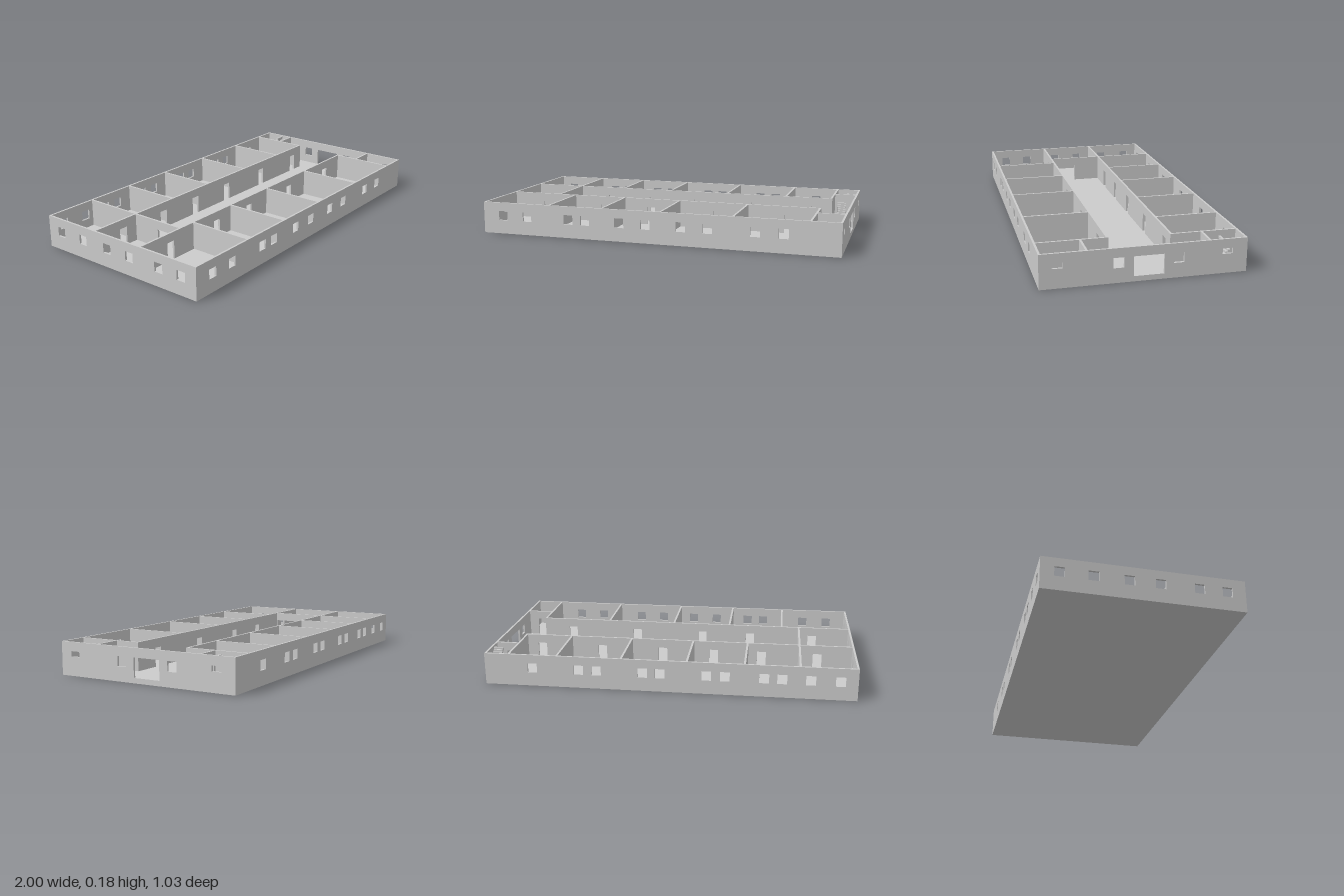
import * as THREE from 'three';

const H = 0.176, FLOOR = 0.027, HEAD = 0.128, T = 0.011;
const X = 1, Z = 0.515;
const material = new THREE.MeshStandardMaterial({ color: 0xcccccc, flatShading: true });

// Extrude a side profile; axis 'x' runs it along x, axis 'z' runs it along z.
function slab(name, axis, at, shape, depth) {
  const geo = new THREE.ExtrudeGeometry(shape, { depth, bevelEnabled: false });
  geo.translate(0, 0, -depth / 2);
  if (axis === 'z') geo.rotateY(-Math.PI / 2);
  const mesh = new THREE.Mesh(geo, material);
  mesh.name = name;
  if (axis === 'x') mesh.position.z = at;
  else mesh.position.x = at;
  return mesh;
}

// Wall with doorways cut up from its foot and windows as holes.
// doors: [centre, width]; windows: [centre, bottom, top]
function wall(name, axis, at, from, to, { base = FLOOR, doors = [], windows = [] } = {}) {
  const s = new THREE.Shape();
  s.moveTo(from, base);
  for (const [c, w] of doors) {
    s.lineTo(c - w / 2, base);
    s.lineTo(c - w / 2, HEAD);
    s.lineTo(c + w / 2, HEAD);
    s.lineTo(c + w / 2, base);
  }
  s.lineTo(to, base);
  s.lineTo(to, H);
  s.lineTo(from, H);
  s.closePath();
  for (const [c, y0, y1, w = 0.052] of windows) {
    const h = new THREE.Path();
    h.moveTo(c - w / 2, y0);
    h.lineTo(c - w / 2, y1);
    h.lineTo(c + w / 2, y1);
    h.lineTo(c + w / 2, y0);
    h.closePath();
    s.holes.push(h);
  }
  return slab(name, axis, at, s, T);
}

// One stair flight: stepped top, sloping underside.
function flight(name, x, width, z0, z1, y0, y1, steps) {
  const dz = (z1 - z0) / steps, dy = (y1 - y0) / steps;
  const s = new THREE.Shape();
  s.moveTo(z0, y0);
  for (let i = 0; i < steps; i++) {
    s.lineTo(z0 + i * dz, y0 + (i + 1) * dy);
    s.lineTo(z0 + (i + 1) * dz, y0 + (i + 1) * dy);
  }
  s.lineTo(z1, y1 - dy * 1.3);
  s.lineTo(z0 + dz, y0);
  s.closePath();
  return slab(name, 'z', x, s, width);
}

function box(name, w, h, d, x, y, z) {
  const mesh = new THREE.Mesh(new THREE.BoxGeometry(w, h, d), material);
  mesh.name = name;
  mesh.position.set(x, y, z);
  return mesh;
}

export function createModel() {
  const model = new THREE.Group();
  model.name = 'floorPlanBuilding';
  const win = (list) => list.map((c) => [c, 0.076, HEAD]);
  const small = (c) => [c, 0.1, HEAD];
  const inX = X - T, inZ = Z - T;

  // Floor slab
  model.add(box('floor', 2 * inX, FLOOR, 2 * inZ, 0, FLOOR / 2, 0));

  // Outer walls
  model.add(
    wall('frontWall', 'x', Z - T / 2, -X, X, {
      base: 0,
      windows: win([-0.88, -0.732, -0.482, -0.384, -0.184, -0.036, 0.162, 0.308, 0.56, 0.708]),
    }),
    wall('backWall', 'x', -Z + T / 2, -X, X, {
      base: 0,
      windows: win([-0.91, -0.757, -0.608, -0.514, -0.308, -0.21, 0.039, 0.132, 0.383, 0.48, 0.735]),
    }),
    wall('leftEndWall', 'z', X - T / 2, -inZ, inZ, {
      base: 0,
      windows: [...win([0.131, -0.167]), small(0.427), small(-0.414), [-0.018, FLOOR, HEAD, 0.152]],
    }),
    wall('rightEndWall', 'z', -X + T / 2, -inZ, inZ, {
      base: 0,
      windows: win([-0.42, -0.255, -0.078, 0.078, 0.276, 0.42]),
    }),
  );

  // Corridor walls with one doorway per room
  const frontZ = 0.151, backZ = -0.168, door = 0.05;
  const doorways = (list) => list.map((c) => [c, door]);
  model.add(
    wall('frontCorridorWall', 'x', frontZ, -inX, 0.848, {
      doors: doorways([-0.78, -0.413, -0.125, 0.272, 0.673]),
    }),
    wall('backCorridorWall', 'x', backZ, -inX, 0.871, {
      doors: doorways([-0.8, -0.49, -0.22, 0.07, 0.42, 0.775]),
    }),
    wall('corridorEndWall', 'z', -0.7, backZ + T / 2, frontZ - T / 2, { doors: [[0.069, 0.146]] }),
  );

  // Room dividers
  for (const x of [-0.6, -0.288, 0.047, 0.443, 0.8425])
    model.add(wall('frontRoomDivider', 'z', x, frontZ + T / 2, inZ));
  for (const x of [-0.7, -0.411, -0.105, 0.248, 0.6, 0.8655])
    model.add(wall('backRoomDivider', 'z', x, -inZ, backZ - T / 2));

  // Corner closet and stairwell walls
  model.add(
    wall('closetWall', 'x', 0.285, 0.848, inX, { doors: [[0.91, door]] }),
    wall('stairwellWall', 'x', -0.325, 0.871, inX, { doors: [[0.91, door]] }),
  );

  // Two-flight staircase turning on a rear landing
  const mid = 0.1;
  model.add(
    flight('lowerFlight', 0.898, 0.052, -0.39, -0.47, FLOOR, mid, 7),
    flight('upperFlight', 0.959, 0.052, -0.465, -0.39, mid, 0.17, 7),
    box('stairLanding', inX - 0.871, 0.012, inZ - 0.467, (inX + 0.871) / 2, mid - 0.006, -(inZ + 0.467) / 2),
  );
  return model;
}
